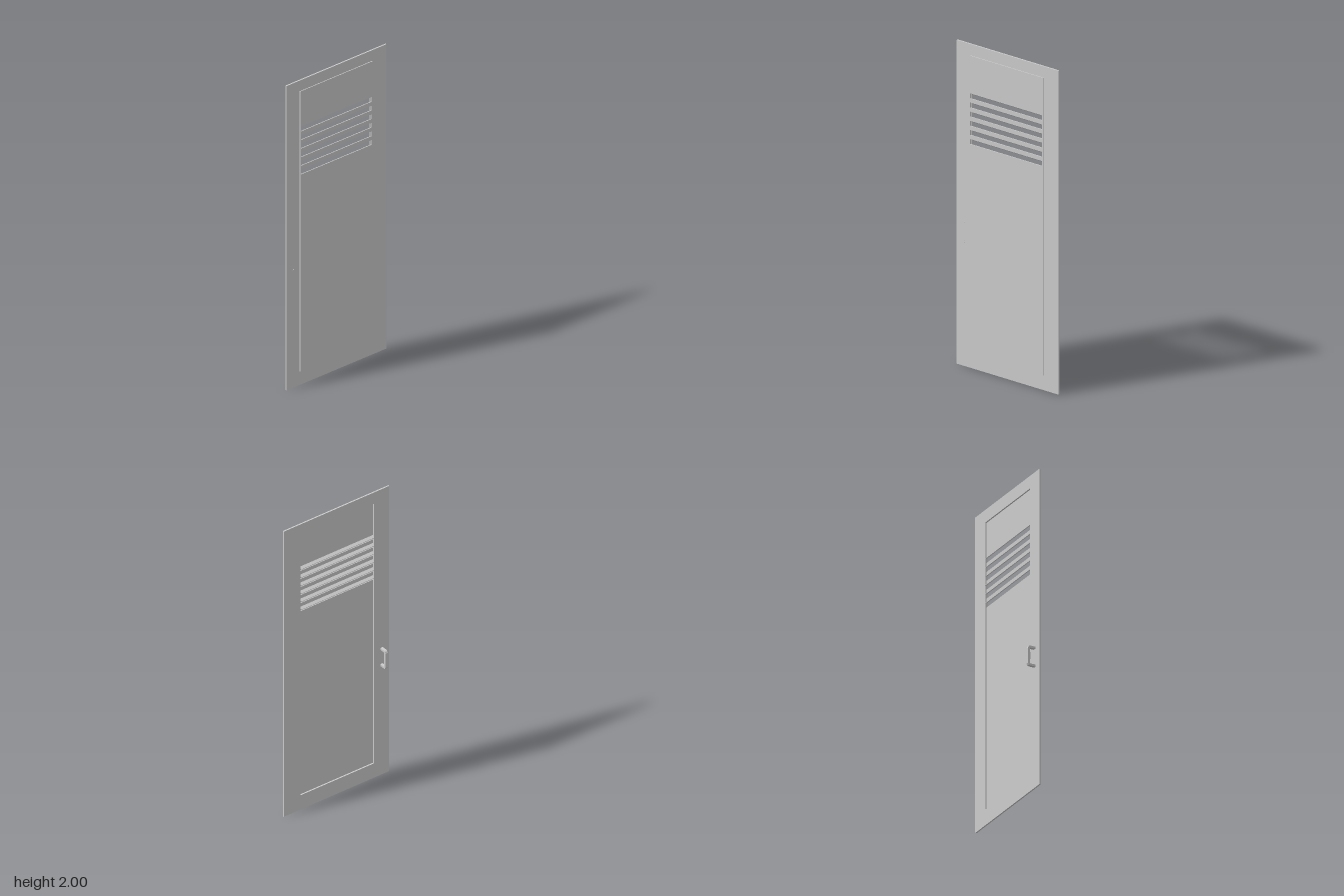
import * as THREE from 'three';

const material = new THREE.MeshStandardMaterial({ color: 0xcccccc, flatShading: true });
const thinMaterial = new THREE.MeshStandardMaterial({ color: 0xcccccc, flatShading: true, side: THREE.DoubleSide });

// Closed outline of a rectangle given by its z and y limits (shape x is -z)
function rectPoints(z0, z1, y0, y1) {
  return [[-z1, y0], [-z0, y0], [-z0, y1], [-z1, y1]].map(([u, v]) => new THREE.Vector2(u, v));
}

// Upright plate between x0 and x1 with rectangular holes
function plate(name, outline, holes, x0, x1) {
  const shape = new THREE.Shape(rectPoints(...outline));
  holes.forEach(h => shape.holes.push(new THREE.Path(rectPoints(...h))));
  const geometry = new THREE.ExtrudeGeometry(shape, { depth: x1 - x0, bevelEnabled: false });
  geometry.rotateY(Math.PI / 2).translate(x0, 0, 0);
  const mesh = new THREE.Mesh(geometry, material);
  mesh.name = name;
  return mesh;
}

// Sloping slat: wide upper edge on the panel, narrower lower edge behind it
function slat(y) {
  const t = 0.003;
  const geometry = new THREE.BoxGeometry(1, 1, 1);
  const p = geometry.attributes.position;
  for (let i = 0; i < p.count; i++) {
    const outer = p.getX(i) > 0, end = p.getZ(i) > 0;
    const z = outer ? (end ? 0.277 : -0.267) : (end ? 0.265 : -0.255);
    p.setXYZ(i, outer ? 0.03 : 0.01, y - (outer ? 0 : 0.013) - (p.getY(i) > 0 ? 0 : t), z);
  }
  geometry.computeVertexNormals();
  const mesh = new THREE.Mesh(geometry, thinMaterial);
  mesh.name = 'louverSlat';
  return mesh;
}

// C-shaped pull handle with chamfered corners and a swelling grip
function handle() {
  const half = [[0.017, 0.063], [-0.02, 0.063], [-0.028, 0.059], [-0.033, 0.049]];
  const inner = [[-0.021, 0.036], [-0.021, 0.045], [-0.016, 0.05], [0.017, 0.05]];
  const mirror = list => list.map(([x, y]) => [x, -y]).reverse();
  const points = [...half, ...mirror(half), ...mirror(inner), [-0.018, -0.018], [-0.018, 0.018], ...inner];
  const shape = new THREE.Shape(points.map(([x, y]) => new THREE.Vector2(x, y)));
  const geometry = new THREE.ExtrudeGeometry(shape, { depth: 0.018, bevelEnabled: false });
  const mesh = new THREE.Mesh(geometry, material);
  mesh.position.set(0, 0.827, 0.316);
  mesh.name = 'handle';
  return mesh;
}

export function createModel() {
  const door = new THREE.Group();
  door.name = 'louveredDoor';

  // Frame with its opening
  door.add(plate('frame', [-0.38, 0.38, 0, 2], [[-0.26, 0.27, 0.1, 1.92]], 0.016, 0.025));

  // Raised panel with the vent slots
  const tops = Array.from({ length: 6 }, (_, i) => 1.7 - i * 0.0565);
  const slots = tops.map(y => [-0.262, 0.275, y - 0.034, y - 0.002]);
  door.add(plate('panel', [-0.27, 0.28, 0.09, 1.93], slots, 0.025, 0.03));

  // Louvers
  const louvers = new THREE.Group();
  louvers.name = 'louvers';
  tops.forEach(y => louvers.add(slat(y)));
  door.add(louvers);

  // Handle and its through bolts
  door.add(handle());
  for (const y of [0.77, 0.883]) {
    const bolt = new THREE.Mesh(new THREE.CylinderGeometry(0.008, 0.008, 0.012, 8), material);
    bolt.rotation.z = Math.PI / 2;
    bolt.position.set(0.021, y, 0.325);
    bolt.name = 'handleBolt';
    door.add(bolt);
  }
  return door;
}
